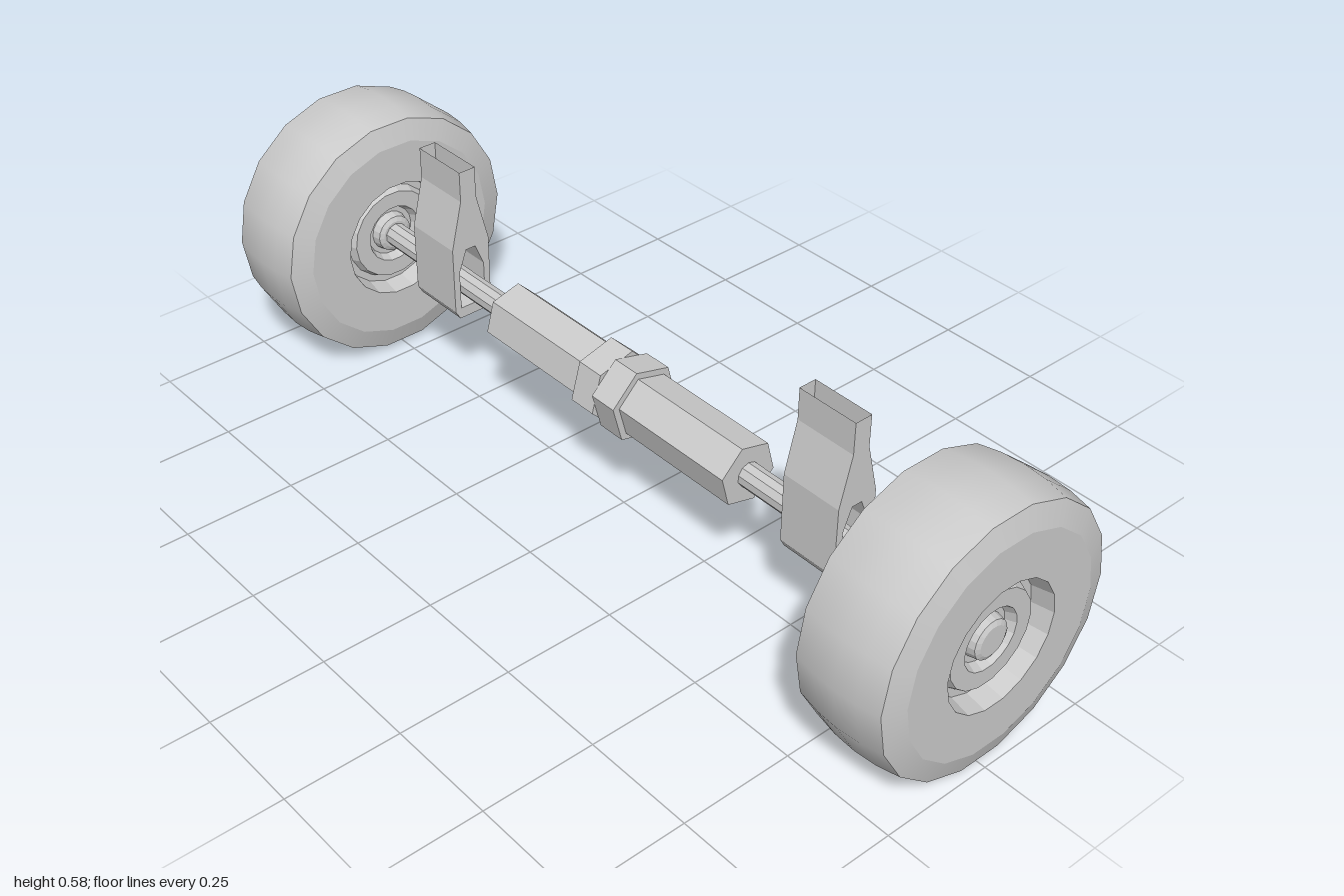
import * as THREE from 'three';

const AXLE_Y = 0.293;
const smooth = new THREE.MeshStandardMaterial({ color: 0xcccccc, side: THREE.DoubleSide });
const flat = new THREE.MeshStandardMaterial({ color: 0xcccccc, side: THREE.DoubleSide, flatShading: true });

function add(parent, name, geometry, material) {
  const mesh = new THREE.Mesh(geometry, material);
  mesh.name = name;
  parent.add(mesh);
  return mesh;
}

// Surface of revolution about z from [radius, z] pairs running back to front
function turned(profile, sides = 18) {
  const points = profile.map(([r, z]) => new THREE.Vector2(r, z));
  return new THREE.LatheGeometry(points, sides, Math.PI / 2).rotateX(Math.PI / 2);
}

// Prism along z between z0 and z1
function bar(radius, z0, z1, sides, turn = 0) {
  return new THREE.CylinderGeometry(radius, radius, z1 - z0, sides)
    .rotateX(Math.PI / 2).rotateZ(turn).translate(0, 0, (z0 + z1) / 2);
}

// Wall that follows an x-y path and spans the given width in z
function wall(path, width) {
  const position = [], index = [];
  path.forEach(([x, y], i) => {
    position.push(x, y, -width / 2, x, y, width / 2);
    if (i) {
      const a = 2 * i - 2;
      index.push(a, a + 2, a + 1, a + 1, a + 2, a + 3);
    }
  });
  const geometry = new THREE.BufferGeometry();
  geometry.setAttribute('position', new THREE.Float32BufferAttribute(position, 3));
  geometry.setIndex(index);
  const split = geometry.toNonIndexed();
  split.computeVertexNormals();
  return split;
}

const mirrorX = (half) => [...half, ...half.slice().reverse().map(([x, y]) => [-x, y])];

function makeWheel() {
  const wheel = new THREE.Group();
  wheel.name = 'wheel';
  add(wheel, 'tread', turned([[0.283, -0.1], [0.292, -0.05], [0.295, 0], [0.292, 0.05], [0.283, 0.1]]), smooth);
  const shoulder = [[0.283, 0.1], [0.235, 0.115]];
  const hub = [
    [0.235, 0.115], [0.137, 0.115], [0.128, 0.07], [0.112, 0.07], [0.104, 0.09],
    [0.067, 0.09], [0.058, 0.07], [0.046, 0.07], [0.042, 0.09], [0.032, 0.095], [0, 0.095],
  ];
  // Both sidewalls carry the same recessed hub
  for (const side of [1, -1]) {
    const place = (p) => {
      const q = p.map(([r, z]) => [r, z * side]);
      return side > 0 ? q : q.reverse();
    };
    add(wheel, 'shoulder', turned(place(shoulder)), smooth);
    add(wheel, 'sidewallAndHub', turned(place(hub)), flat);
  }
  return wheel;
}

function makeBracket() {
  const bracket = new THREE.Group();
  bracket.name = 'bracket';
  const width = 0.14;
  // Neck, flared body and chamfered foot, open at the top
  const outline = mirrorX([[0.02, 0.58], [0.02, 0.51], [0.0475, 0.4], [0.0475, 0.245], [0.036, 0.225]]);
  const opening = mirrorX([[0.012, 0.39], [0.032, 0.34], [0.032, 0.25]]);
  add(bracket, 'bracketWall', wall(outline, width), flat);
  add(bracket, 'openingWall', wall([...opening, opening[0]], width), flat);
  const toVectors = (path) => path.map(([x, y]) => new THREE.Vector2(x, y));
  const plate = new THREE.Shape(toVectors(outline));
  plate.holes.push(new THREE.Path(toVectors(opening)));
  for (const side of [1, -1]) {
    const cheek = add(bracket, 'bracketCheek', new THREE.ShapeGeometry(plate), flat);
    cheek.position.z = side * width / 2;
    if (side < 0) cheek.rotation.y = Math.PI;
  }
  return bracket;
}

// One half of the axle, reaching out along +z
function makeHalf() {
  const half = new THREE.Group();
  half.name = 'axleHalf';
  const drive = new THREE.Group();
  drive.name = 'driveShaft';
  drive.position.y = AXLE_Y;
  half.add(drive);
  add(drive, 'rod', bar(0.027, 0, 0.85, 10), flat);
  // Hexagonal tube and its centre collar
  add(drive, 'tube', bar(0.07, 0, 0.365, 6, Math.PI / 12), flat);
  add(drive, 'collar', bar(0.086, 0, 0.065, 6, Math.PI / 12), flat);
  const wheel = makeWheel();
  wheel.position.z = 0.885;
  drive.add(wheel);
  const bracket = makeBracket();
  bracket.position.z = 0.575;
  half.add(bracket);
  return half;
}

export function createModel() {
  const model = new THREE.Group();
  model.name = 'wheelAxle';
  const front = makeHalf();
  const back = makeHalf();
  back.rotation.y = Math.PI;
  model.add(front, back);
  return model;
}
